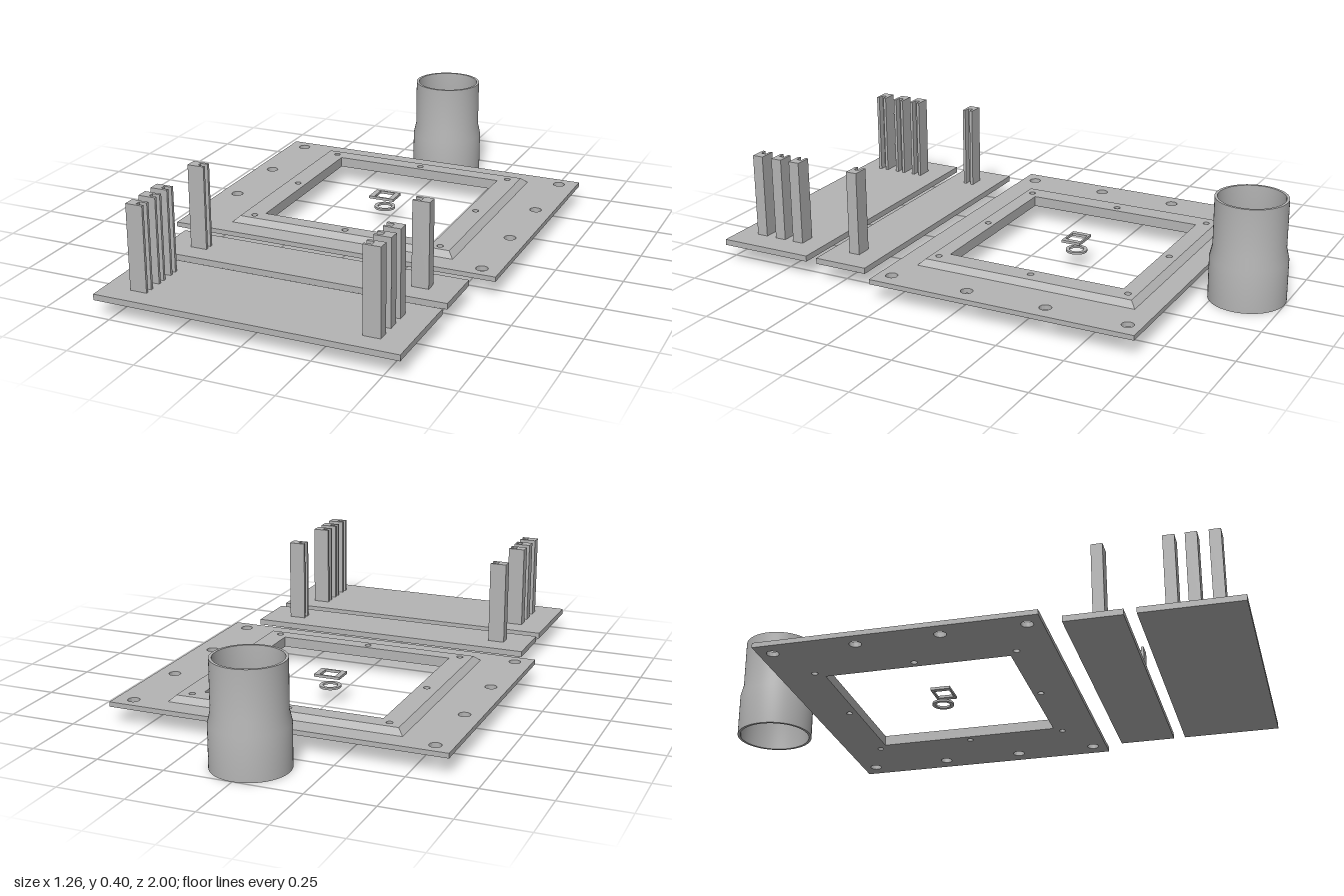
import * as THREE from 'three';
import { toCreasedNormals } from 'three/addons/utils/BufferGeometryUtils.js';

const grey = new THREE.MeshStandardMaterial({ color: 0xb4b4b4 });
grey.name = 'plain grey';

function rectPoints(x0, x1, z0, z1) {
  return [[x0, z0], [x1, z0], [x1, z1], [x0, z1]].map(([x, z]) => new THREE.Vector2(x, z));
}

function roundHole(x, z, r) {
  return new THREE.Path().absarc(x, z, r, 0, Math.PI * 2, true);
}

// Outline drawn in x and z, extruded from y0 up to y1
function slab(points, holes, y0, y1) {
  const shape = new THREE.Shape(points);
  shape.holes.push(...holes);
  const geo = new THREE.ExtrudeGeometry(shape, { depth: y1 - y0, bevelEnabled: false, curveSegments: 16 });
  geo.rotateX(Math.PI / 2);
  geo.translate(0, y1, 0);
  return geo;
}

export function createModel() {
  const model = new THREE.Group();
  model.name = 'mountingKit';
  const add = (name, geo, parent = model) => {
    const mesh = new THREE.Mesh(toCreasedNormals(geo, 0.5), grey);
    mesh.name = name;
    parent.add(mesh);
    return mesh;
  };

  // Flange frame with a square opening, mounting holes and screw holes
  const frame = new THREE.Group();
  frame.name = 'flangeFrame';
  model.add(frame);
  const opening = () => new THREE.Path(rectPoints(-0.34, 0.34, -0.53, 0.155));
  const screwHoles = () => {
    const holes = [];
    for (const x of [-0.373, 0, 0.373]) {
      for (const z of [-0.56, -0.188, 0.184]) {
        if (x !== 0 || z !== -0.188) holes.push(roundHole(x, z, 0.012));
      }
    }
    return holes;
  };
  const boltHoles = [];
  for (const x of [-0.565, 0.562]) {
    for (const z of [-0.643, -0.34, -0.036, 0.268]) boltHoles.push(roundHole(x, z, 0.022));
  }
  add('flangePlate',
    slab(rectPoints(-0.63, 0.63, -0.695, 0.32), [opening(), ...screwHoles(), ...boltHoles], 0.063, 0.081), frame);

  // Raised rim: the outer top edge is drawn in to make the slope
  const rim = slab(rectPoints(-0.44, 0.44, -0.615, 0.235), [opening(), ...screwHoles()], 0.081, 0.102);
  const pos = rim.attributes.position;
  const midZ = -0.19;
  for (let i = 0; i < pos.count; i++) {
    const x = pos.getX(i), z = pos.getZ(i) - midZ;
    if (pos.getY(i) > 0.09 && Math.abs(x) > 0.43) {
      pos.setX(i, x - Math.sign(x) * 0.022);
      pos.setZ(i, midZ + z - Math.sign(z) * 0.022);
    }
  }
  add('raisedRim', rim, frame);

  // Small square washer with a ring below it
  const washerHole = new THREE.Path(rectPoints(-0.03, 0.03, -0.219, -0.159));
  add('washerPlate', slab(rectPoints(-0.05, 0.05, -0.226, -0.152), [washerHole], 0.1, 0.11));
  const ring = new THREE.Shape().absarc(0, midZ, 0.04, 0, Math.PI * 2, false).getPoints(16);
  add('washerRing', slab(ring, [roundHole(0, midZ, 0.027)], 0.056, 0.064));

  // Pipe adapter, wide below and narrow above
  const profile = [
    [0.13, 0], [0.14, 0], [0.14, 0.157], [0.13, 0.2], [0.13, 0.381],
    [0.12, 0.381], [0.12, 0.2], [0.13, 0.157], [0.13, 0],
  ].map(([r, y]) => new THREE.Vector2(r, y));
  const pipe = add('pipeAdapter', new THREE.LatheGeometry(profile, 64));
  pipe.position.z = -0.86;

  // Base boards with pairs of slotted posts, the slots facing inwards
  const boards = [
    { name: 'narrowBoard', z0: 0.385, z1: 0.593, posts: [0.492] },
    { name: 'wideBoard', z0: 0.637, z1: 1, posts: [0.742, 0.82, 0.902] },
  ];
  for (const { name, z0, z1, posts } of boards) {
    const group = new THREE.Group();
    group.name = name;
    model.add(group);
    add('board', slab(rectPoints(-0.557, 0.557, z0, z1), [], 0.062, 0.084), group);
    for (const z of posts) {
      for (const side of [1, -1]) {
        const outline = [
          [0.396, -0.021], [0.459, -0.021], [0.459, 0.021], [0.396, 0.021],
          [0.396, 0.01], [0.424, 0.01], [0.424, -0.01], [0.396, -0.01],
        ].map(([x, dz]) => new THREE.Vector2(side * x, z + dz));
        add(side > 0 ? 'leftPost' : 'rightPost', slab(outline, [], 0.084, 0.398), group);
      }
    }
  }
  return model;
}
